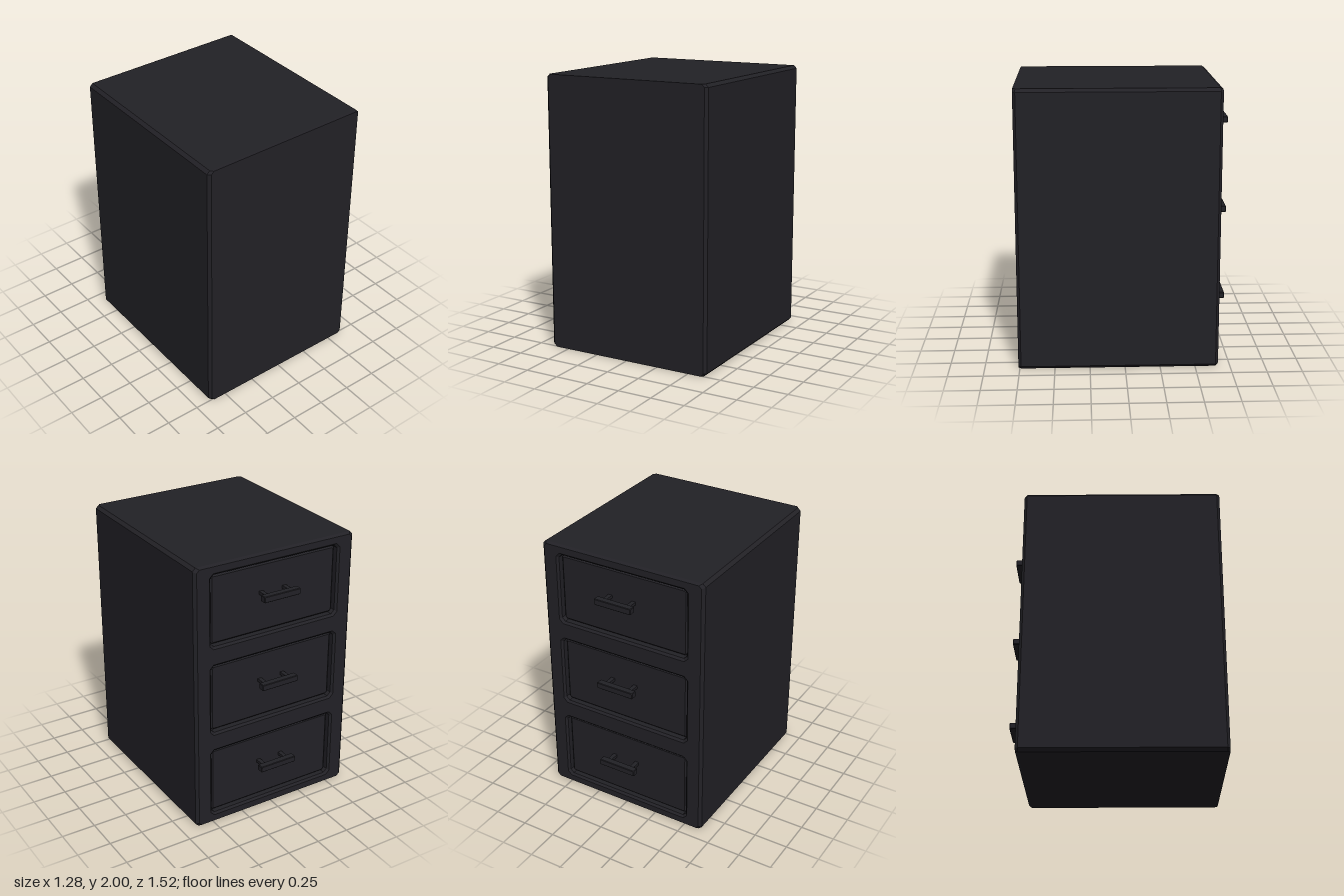
import * as THREE from 'three';

const material = new THREE.MeshStandardMaterial({ color: 0x222126, flatShading: true });
const BACK = -0.665; // plane of the drawer side of the cabinet

// Rectangle with cut corners, counter-clockwise seen from +z
function ring(w, h, c) {
  const x = w / 2, y = h / 2;
  return [[x, c - y], [x, y - c], [x - c, y], [c - x, y],
    [-x, y - c], [-x, c - y], [c - x, -y], [x - c, -y]];
}

// Joins rings [width, height, cut, z]; falling z faces outward, rising z faces inward
function loft(name, rings, capFirst, capLast) {
  const pos = [];
  const pts = rings.map(([w, h, c, z]) => ring(w, h, c).map(([x, y]) => [x, y, z]));
  for (let k = 0; k + 1 < pts.length; k++) {
    const a = pts[k], b = pts[k + 1];
    for (let i = 0; i < 8; i++) {
      const j = (i + 1) % 8;
      pos.push(...a[i], ...b[i], ...b[j], ...a[i], ...b[j], ...a[j]);
    }
  }
  const first = pts[0], last = pts[pts.length - 1];
  for (let i = 1; i < 7; i++) {
    if (capFirst) pos.push(...first[0], ...first[i], ...first[i + 1]);
    if (capLast) pos.push(...last[0], ...last[i + 1], ...last[i]);
  }
  const geometry = new THREE.BufferGeometry();
  geometry.setAttribute('position', new THREE.Float32BufferAttribute(pos, 3));
  geometry.computeVertexNormals();
  const mesh = new THREE.Mesh(geometry, material);
  mesh.name = name;
  return mesh;
}

function createDrawer() {
  const drawer = new THREE.Group();
  // Bevelled opening with its floor
  drawer.add(loft('recess', [
    [1.05, 0.55, 0.03, BACK],
    [1.02, 0.52, 0.025, BACK + 0.015],
    [1.02, 0.52, 0.025, BACK + 0.08],
  ], false, true));
  // Bevelled front panel set into the opening
  drawer.add(loft('drawerFront', [
    [1.0, 0.5, 0.015, BACK + 0.08],
    [1.0, 0.5, 0.015, BACK + 0.042],
    [0.976, 0.476, 0.01, BACK + 0.03],
  ], false, true));

  // Bar handle on two posts
  const handle = new THREE.Group();
  handle.name = 'handle';
  handle.position.set(0.01, 0.04, 0);
  handle.add(loft('handleBar', [
    [0.284, 0.037, 0.004, -0.71],
    [0.292, 0.045, 0.004, -0.714],
    [0.292, 0.045, 0.004, -0.756],
    [0.284, 0.037, 0.004, -0.76],
  ], true, true));
  for (const side of [-1, 1]) {
    const post = new THREE.Mesh(new THREE.BoxGeometry(0.03, 0.022, 0.085), material);
    post.name = 'handlePost';
    post.position.set(side * 0.094, 0, -0.67);
    handle.add(post);
  }
  drawer.add(handle);
  return drawer;
}

export function createModel() {
  const model = new THREE.Group();
  model.name = 'drawerCabinet';

  // Cabinet shell with chamfered edges
  const shell = loft('shell', [
    [1.24, 1.998, 0.02, 0.76],
    [1.28, 2, 0.022, 0.74],
    [1.28, 2, 0.022, BACK + 0.02],
    [1.24, 1.975, 0.02, BACK],
  ], true, false);
  shell.position.y = 1;
  model.add(shell);

  // Flat frame around the three openings
  const toPoints = (pts, dy) => pts.map(([x, y]) => new THREE.Vector2(x, y + dy));
  const frameShape = new THREE.Shape(toPoints(ring(1.24, 1.975, 0.02), 1));
  const heights = [0.335, 1, 1.665];
  for (const y of heights) {
    frameShape.holes.push(new THREE.Path(toPoints(ring(1.05, 0.55, 0.03), y)));
  }
  const frame = new THREE.Mesh(new THREE.ShapeGeometry(frameShape).rotateY(Math.PI), material);
  frame.name = 'drawerFrame';
  frame.position.z = BACK;
  model.add(frame);

  heights.forEach((y, i) => {
    const drawer = createDrawer();
    drawer.name = ['bottomDrawer', 'middleDrawer', 'topDrawer'][i];
    drawer.position.y = y;
    model.add(drawer);
  });
  return model;
}
